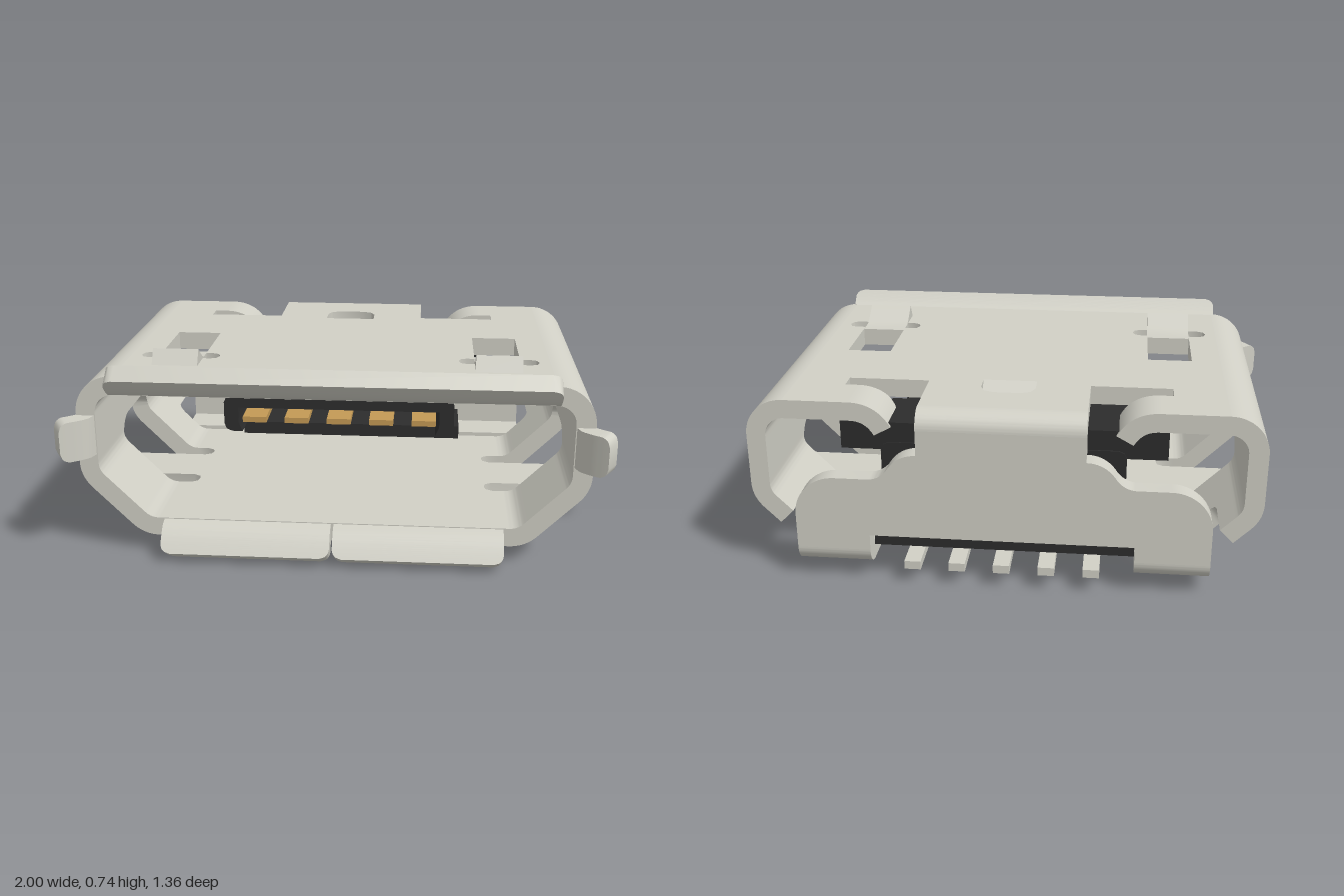
import * as THREE from 'three';
import { toCreasedNormals } from 'three/addons/utils/BufferGeometryUtils.js';

const T = 0.07; // sheet metal thickness
const V = (p) => new THREE.Vector2(p[0], p[1]);

// Mirrored copy across x = 0, with triangle order corrected
function mirrorX(geo) {
  const g = geo.index ? geo.toNonIndexed() : geo.clone();
  g.scale(-1, 1, 1);
  for (const a of Object.values(g.attributes)) {
    const n = a.itemSize;
    for (let i = 0; i < a.count; i += 3) {
      for (let k = 0; k < n; k++) {
        const p = (i + 1) * n + k, q = (i + 2) * n + k, t = a.array[p];
        a.array[p] = a.array[q];
        a.array[q] = t;
      }
    }
  }
  return g;
}

function extrude(shape, depth) {
  const s = Array.isArray(shape) ? new THREE.Shape(shape.map(V)) : shape;
  const g = new THREE.ExtrudeGeometry(s, { depth, bevelEnabled: false, curveSegments: 10 });
  return toCreasedNormals(g, 0.6);
}
// Outline in (x, z), extruded down from yTop
const plateXZ = (s, yTop, d) => extrude(s, d).rotateX(Math.PI / 2).translate(0, yTop, 0);
// Outline in (z, y), extruded along x from x0 to x1
const plateZY = (s, x0, x1) => extrude(s, x1 - x0).rotateY(-Math.PI / 2).translate(x1, 0, 0);

// Bent sheet from rows { p, n, z0, z1 } following an outer profile in (x, y)
function bentSheet(rows) {
  const pos = [], idx = [];
  for (const { p, n, z0, z1 } of rows) {
    const q = p.clone().addScaledVector(n, -T);
    pos.push(p.x, p.y, z0, p.x, p.y, z1, q.x, q.y, z1, q.x, q.y, z0);
  }
  for (let i = 0; i < rows.length - 1; i++) {
    for (let k = 0; k < 4; k++) {
      const a = i * 4 + k, b = i * 4 + (k + 1) % 4;
      idx.push(a, b, b + 4, a, b + 4, a + 4);
    }
  }
  const e = (rows.length - 1) * 4;
  idx.push(0, 2, 1, 0, 3, 2, e, e + 1, e + 2, e, e + 2, e + 3);
  const g = new THREE.BufferGeometry();
  g.setAttribute('position', new THREE.Float32BufferAttribute(pos, 3));
  g.setIndex(idx);
  return toCreasedNormals(g, 0.6);
}

function sampleProfile(path, count) {
  const rows = [];
  for (let i = 0; i <= count; i++) {
    const t = path.getTangentAt(i / count);
    rows.push({ p: path.getPointAt(i / count), n: new THREE.Vector2(-t.y, t.x) });
  }
  return rows;
}

// Inset of a rounded corner at distance d from the edge
function cornerInset(d, r) {
  const k = Math.max(0, r - d);
  return r - Math.sqrt(Math.max(0, r * r - k * k));
}

// Flared lip with rounded free corners: runs toward +z and rises along +y
function lip(width, rise) {
  const path = new THREE.Path().moveTo(-0.012, 0).quadraticCurveTo(0.002, 0, 0.045, rise);
  const len = path.getLength(), n = 14;
  const rows = sampleProfile(path, n).map((r, i) => {
    const w = width / 2 - cornerInset(len * (1 - i / n), 0.035);
    return { ...r, z0: -w, z1: w };
  });
  return bentSheet(rows).rotateY(-Math.PI / 2);
}

// Rows of a falling profile between two heights, with exact end rows
function clip(rows, yTop, yBottom) {
  const out = [];
  rows.forEach((r, i) => {
    const prev = rows[i - 1];
    if (prev) {
      for (const y of [yTop, yBottom]) {
        if (prev.p.y > y && r.p.y < y) {
          const t = (prev.p.y - y) / (prev.p.y - r.p.y);
          out.push({ p: prev.p.clone().lerp(r.p, t), n: prev.n.clone().lerp(r.n, t).normalize() });
        }
      }
    }
    if (r.p.y <= yTop && r.p.y >= yBottom) out.push(r);
  });
  return out;
}

export function createModel() {
  const root = new THREE.Group();
  const steel = new THREE.MeshStandardMaterial({ color: 0xd1d0c6 });
  steel.name = 'steel';
  const plastic = new THREE.MeshStandardMaterial({ color: 0x2d2d2d });
  plastic.name = 'black plastic';
  const gold = new THREE.MeshStandardMaterial({ color: 0xc49a55 });
  gold.name = 'gold';

  const add = (name, geo, mat = steel) => {
    const m = new THREE.Mesh(geo, mat);
    m.name = name;
    root.add(m);
  };
  const pair = (name, geo, mat) => {
    add(name + 'Left', geo, mat);
    add(name + 'Right', mirrorX(geo), mat);
  };
  const boxGeo = (x0, x1, y0, y1, z0, z1) => new THREE.BoxGeometry(x1 - x0, y1 - y0, z1 - z0)
    .translate((x0 + x1) / 2, (y0 + y1) / 2, (z0 + z1) / 2);

  // Top of the shell: rear notches, latch openings and a small centre window
  const half = [[0.3, -0.605], [0.3, -0.36], [0.6, -0.36], [0.6, -0.43], [0.55, -0.43], [0.55, -0.605], [0.79, -0.605], [0.79, 0.575]];
  const flip = (pts) => pts.map(([x, z]) => [-x, z]).reverse();
  const top = new THREE.Shape([...half, ...flip(half)].map(V));
  const latch = [[0.51, -0.05], [0.68, -0.05], [0.68, 0.25], [0.72, 0.25], [0.741, 0.259], [0.75, 0.285], [0.741, 0.311], [0.72, 0.32],
    [0.68, 0.32], [0.68, 0.34], [0.51, 0.34], [0.51, 0.32], [0.48, 0.32], [0.459, 0.311], [0.45, 0.285], [0.459, 0.259], [0.48, 0.25], [0.51, 0.25]];
  const win = [[-0.1, -0.33], [-0.1, -0.405], [-0.085, -0.44], [-0.05, -0.455], [0.05, -0.455], [0.085, -0.44], [0.1, -0.405], [0.1, -0.33]];
  for (const h of [latch, flip(latch), win]) top.holes.push(new THREE.Path(h.map(V)));
  add('shellTop', plateXZ(top, 0.68, T));
  add('windowLip', plateZY([[-0.33, 0.68], [-0.375, 0.64], [-0.36, 0.6], [-0.33, 0.61]], -0.1, 0.1));

  // Latch springs rising through the top
  pair('latchSpring', plateZY([[0.225, 0.679], [0.225, 0.61], [0.33, 0.62], [0.425, 0.68], [0.39, 0.735], [0.325, 0.69], [0.3, 0.68]], 0.51, 0.68));

  // Curled rear tabs with a rounded inner corner
  const curl = new THREE.Path().moveTo(0.4, 0.59).quadraticCurveTo(0.45, 0.68, 0.55, 0.68);
  pair('rearCurl', bentSheet(sampleProfile(curl, 16).map((r) => (
    { ...r, z0: -0.605, z1: -0.43 - cornerInset(r.p.x - 0.4, 0.05) }))));

  // Side walls: rounded shoulder, upright, 45 degree slope, bend to the base
  const side = new THREE.Path().moveTo(0.79, 0.68)
    .absarc(0.79, 0.54, 0.14, Math.PI / 2, 0, true)
    .lineTo(0.93, 0.35).quadraticCurveTo(0.93, 0.29, 0.888, 0.248)
    .lineTo(0.747, 0.107).quadraticCurveTo(0.705, 0.065, 0.645, 0.065);
  const rows = sampleProfile(side, 64);
  const open = (y) => cornerInset(0.4 - y, 0.08); // rounded top corners of the side opening
  pair('sideUpper', bentSheet(clip(rows, 1, 0.4).map((r) => ({ ...r, z0: -0.605, z1: 0.575 }))));
  pair('sideFront', bentSheet(clip(rows, 0.4, 0).map((r) => ({ ...r, z0: 0.225 - open(r.p.y), z1: 0.575 }))));
  pair('sideRear', bentSheet(clip(rows, 0.4, 0.19).map((r) => ({ ...r, z0: -0.605, z1: -0.155 + open(r.p.y) }))));
  pair('sideRearLower', bentSheet(clip(rows, 0.19, 0).map((r) => (
    { ...r, z0: -0.4 - cornerInset(0.19 - r.p.y, 0.03), z1: -0.155 }))));

  // Base with mounting feet and round-ended relief slots
  const foot = [[0.645, -0.4], [0.645, -0.155], [0.6, -0.155], [0.575, -0.14], [0.57, -0.118], [0.575, -0.095], [0.6, -0.08],
    [0.935, -0.08], [0.963, -0.068], [0.975, -0.04], [0.975, 0.105], [0.963, 0.133], [0.935, 0.145],
    [0.6, 0.145], [0.575, 0.16], [0.57, 0.185], [0.575, 0.21], [0.6, 0.225], [0.645, 0.225], [0.645, 0.575]];
  add('baseWithFeet', plateXZ([...foot, ...flip(foot)], 0.135, T));

  // Flared lips around the mouth
  add('topLip', lip(1.6, 0.055).translate(0, 0.68, 0.575));
  pair('bottomLip', lip(0.62, 0.065).rotateZ(Math.PI).translate(0.315, 0.065, 0.575));
  pair('sideLip', lip(0.15, 0.07).rotateZ(-Math.PI / 2).translate(0.93, 0.455, 0.575));

  // Rear cover: centre strap, sloping shoulders, round ears, pin cut-out
  const cover = new THREE.Shape().moveTo(0.48, 0.13).lineTo(0.75, 0.13).lineTo(0.75, 0.27)
    .absarc(0.6, 0.265, 0.15, 0, Math.PI / 2, false).lineTo(0.48, 0.415)
    .quadraticCurveTo(0.44, 0.415, 0.41, 0.45).quadraticCurveTo(0.37, 0.515, 0.3, 0.515)
    .lineTo(0.3, 0.61).lineTo(-0.3, 0.61).lineTo(-0.3, 0.515)
    .quadraticCurveTo(-0.37, 0.515, -0.41, 0.45).quadraticCurveTo(-0.44, 0.415, -0.48, 0.415)
    .lineTo(-0.6, 0.415).absarc(-0.6, 0.265, 0.15, Math.PI / 2, Math.PI, false)
    .lineTo(-0.75, 0.13).lineTo(-0.48, 0.13).lineTo(-0.48, 0.19).lineTo(0.48, 0.19);
  add('rearCover', extrude(cover, T).translate(0, 0, -0.675));
  const bend = new THREE.Shape().moveTo(-0.605, 0.61).lineTo(-0.605, 0.68)
    .absarc(-0.605, 0.61, T, Math.PI / 2, Math.PI, false);
  add('rearCoverBend', plateZY(bend, -0.3, 0.3));
  const flange = new THREE.Shape().moveTo(-0.445, 0.135).lineTo(-0.675, 0.135)
    .absarc(-0.605, 0.13, T, Math.PI, Math.PI * 1.5, false).lineTo(-0.445, 0.06);
  pair('rearFlange', plateZY(flange, 0.48, 0.75));

  // Plastic insulator: upper blocks, lower shelf, pin bar and hollow tongue
  add('insulatorCentre', boxGeo(-0.1, 0.1, 0.5, 0.605, -0.595, -0.36), plastic);
  pair('insulatorBlock', boxGeo(0.3, 0.44, 0.5, 0.605, -0.595, -0.36), plastic);
  pair('insulatorEnd', boxGeo(0.44, 0.585, 0.5, 0.605, -0.595, -0.4), plastic);
  add('insulatorShelf', boxGeo(-0.479, 0.479, 0.115, 0.19, -0.604, -0.36), plastic);
  add('pinBar', boxGeo(-0.47, 0.47, 0.07, 0.12, -0.5, -0.446), plastic);
  const tongue = new THREE.Shape([[0.37, 0.385], [0.41, 0.385], [0.431, 0.394], [0.44, 0.415], [0.44, 0.5], [0.431, 0.521], [0.41, 0.53],
    [-0.41, 0.53], [-0.431, 0.521], [-0.44, 0.5], [-0.44, 0.415], [-0.431, 0.394], [-0.41, 0.385], [-0.37, 0.385], [-0.385, 0.42],
    [-0.385, 0.48], [0.385, 0.48], [0.385, 0.42]].map(V));
  add('tongue', extrude(tongue, 0.9).translate(0, 0, -0.6), plastic);

  // Five contacts and their solder pins
  for (let i = -2; i <= 2; i++) {
    const x = i * 0.163;
    add('contact', boxGeo(x - 0.046, x + 0.046, 0.415, 0.437, -0.58, 0.28), gold);
    add('solderPin', boxGeo(x - 0.03, x + 0.03, 0.06, 0.092, -0.678, -0.46));
  }
  return root;
}
